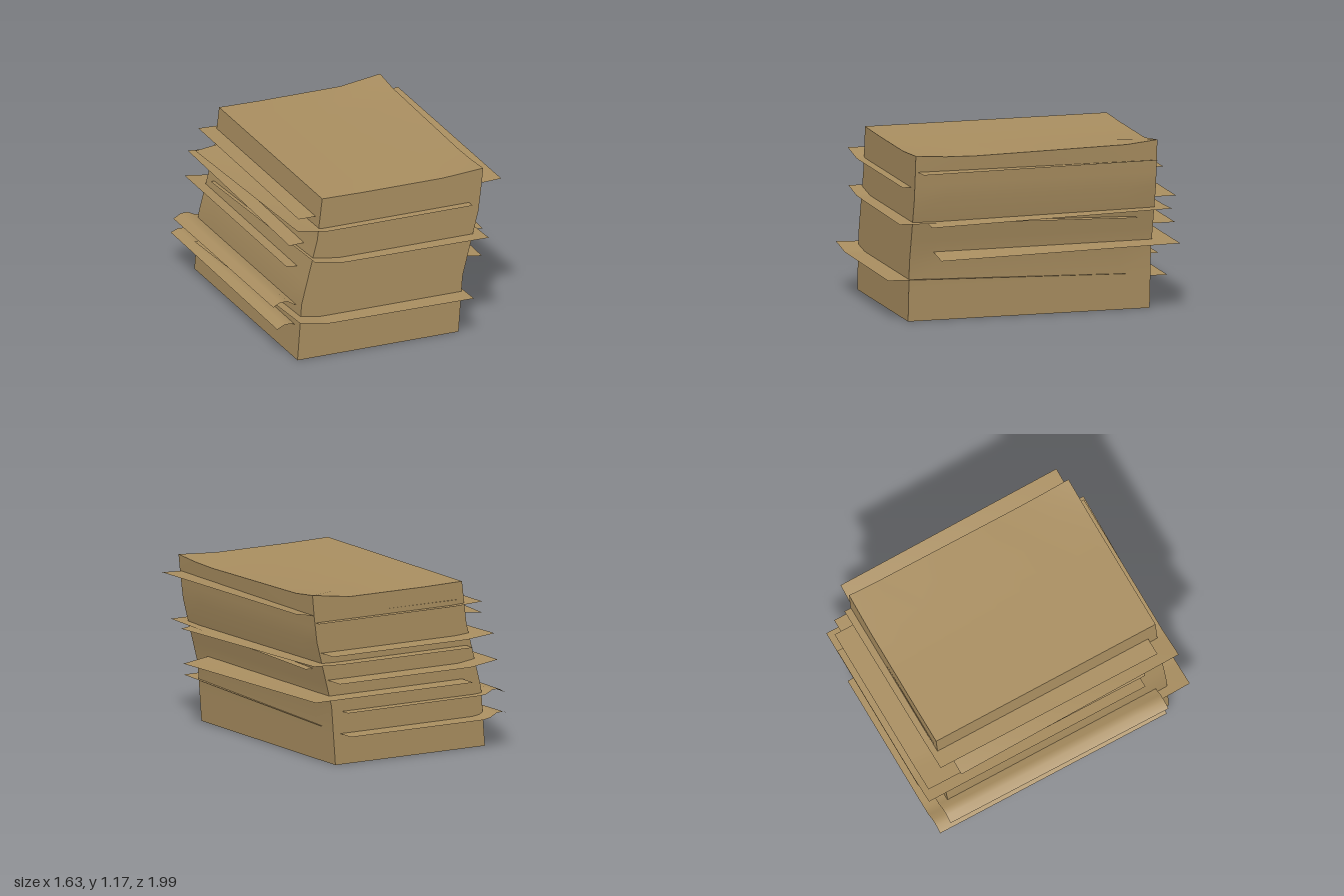
import * as THREE from 'three';

const lerp = THREE.MathUtils.lerp;

// piecewise linear lookup in [[key, value], ...]
function along(table, t) {
  for (let i = 1; i < table.length; i++) {
    const [a, va] = table[i - 1], [b, vb] = table[i];
    if (t <= b) return lerp(va, vb, (t - a) / (b - a));
  }
  return table[table.length - 1][1];
}

// leaning block of stacked paper with a slightly warped top
function makeStack() {
  const geo = new THREE.BoxGeometry(1, 1, 1, 4, 8, 8);
  const levels = [0, 0.2, 0.4, 0.55, 0.7, 0.85, 0.95, 1.04, 1.135];
  const lean = [[0, -0.09], [0.4, -0.06], [0.85, 0.055], [1.135, 0.09]];
  const p = geo.attributes.position;
  for (let i = 0; i < p.count; i++) {
    const u = p.getX(i), w = p.getZ(i) * 1.68;
    const row = Math.round((p.getY(i) + 0.5) * 8);
    let y = levels[row];
    const x = u * 1.175 + along(lean, y);
    if (row === 8) {
      const edge = along([[-0.84, 0.04], [-0.63, 0.018], [0.42, 0], [0.63, 0.005], [0.84, 0.02]], w);
      y += u > 0.4 ? edge : u < -0.4 ? 0.005 : 0;
    }
    p.setXYZ(i, x, y, w);
  }
  geo.computeVertexNormals();
  return geo;
}

// loose sheet: x and z ranges, front and back heights, lifted corners, optional rolled left edge
function makeSheet({ x, z, y, skew = 0, fl = 0, bl = 0, fr = 0, br = 0, roll = 0 }) {
  const cols = 24, rows = 8;
  const geo = new THREE.PlaneGeometry(1, 1, cols, rows).rotateX(-Math.PI / 2);
  const p = geo.attributes.position;
  for (let i = 0; i < p.count; i++) {
    const u = p.getX(i) + 0.5, v = p.getZ(i) + 0.5; // v runs back to front
    const left = Math.max(0, 1 - u / 0.17), right = Math.max(0, 1 - (1 - u) / 0.17);
    let h = lerp(y[1], y[0], v) + left * lerp(bl, fl, v) + right * lerp(br, fr, v);
    if (roll) h += roll * Math.sin(Math.PI * Math.min(1, u / 0.13));
    p.setXYZ(i, lerp(x[0], x[1], u) + skew * (v - 0.5), h, lerp(z[0], z[1], v) + skew * (u - 0.5));
  }
  geo.computeVertexNormals();
  return geo;
}

export function createModel() {
  const group = new THREE.Group();
  const paper = new THREE.MeshStandardMaterial({ color: 0xa98e60, side: THREE.DoubleSide });
  paper.name = 'aged paper';
  const add = (name, geo) => {
    const mesh = new THREE.Mesh(geo, paper);
    mesh.name = name;
    group.add(mesh);
  };

  add('paperStack', makeStack());

  // loose sheets from bottom to top
  const sheets = [
    { x: [-0.79, 0.46], z: [-0.975, 0.76], y: [0.21, 0.21], roll: 0.03, bl: 0.02 },
    { x: [-0.725, 0.535], z: [-0.71, 0.985], y: [0.293, 0.245], skew: 0.015, fl: 0.035, bl: 0.01 },
    { x: [-0.81, 0.44], z: [-0.91, 0.75], y: [0.36, 0.36], skew: -0.015, roll: 0.035, fl: 0.015 },
    { x: [-0.5, 0.74], z: [-0.98, 0.68], y: [0.475, 0.475], skew: 0, br: 0, fr: -0.03 },
    { x: [-0.68, 0.56], z: [-0.998, 0.66], y: [0.58, 0.585], bl: 0.03, fl: 0.03 },
    { x: [-0.6, 0.66], z: [-0.72, 0.94], y: [0.695, 0.645], skew: 0.02, fl: 0.035, bl: 0.02 },
    { x: [-0.53, 0.72], z: [-0.93, 0.74], y: [0.7, 0.7], br: 0.01, fr: -0.03 },
    { x: [-0.66, 0.61], z: [-0.99, 0.67], y: [0.77, 0.775], bl: 0.02, fl: -0.01 },
    { x: [-0.705, 0.575], z: [-0.765, 0.9], y: [0.925, 0.915], fl: 0.04, bl: -0.025 },
    { x: [-0.635, 0.65], z: [-0.885, 0.77], y: [0.99, 0.985], skew: -0.008, bl: 0.01, fl: 0 },
    { x: [-0.46, 0.81], z: [-0.84, 0.82], y: [1.04, 1.02], skew: 0.012, br: 0.04, fr: 0.01 },
  ];
  sheets.forEach((s, i) => add(`looseSheet${i + 1}`, makeSheet(s)));
  return group;
}
